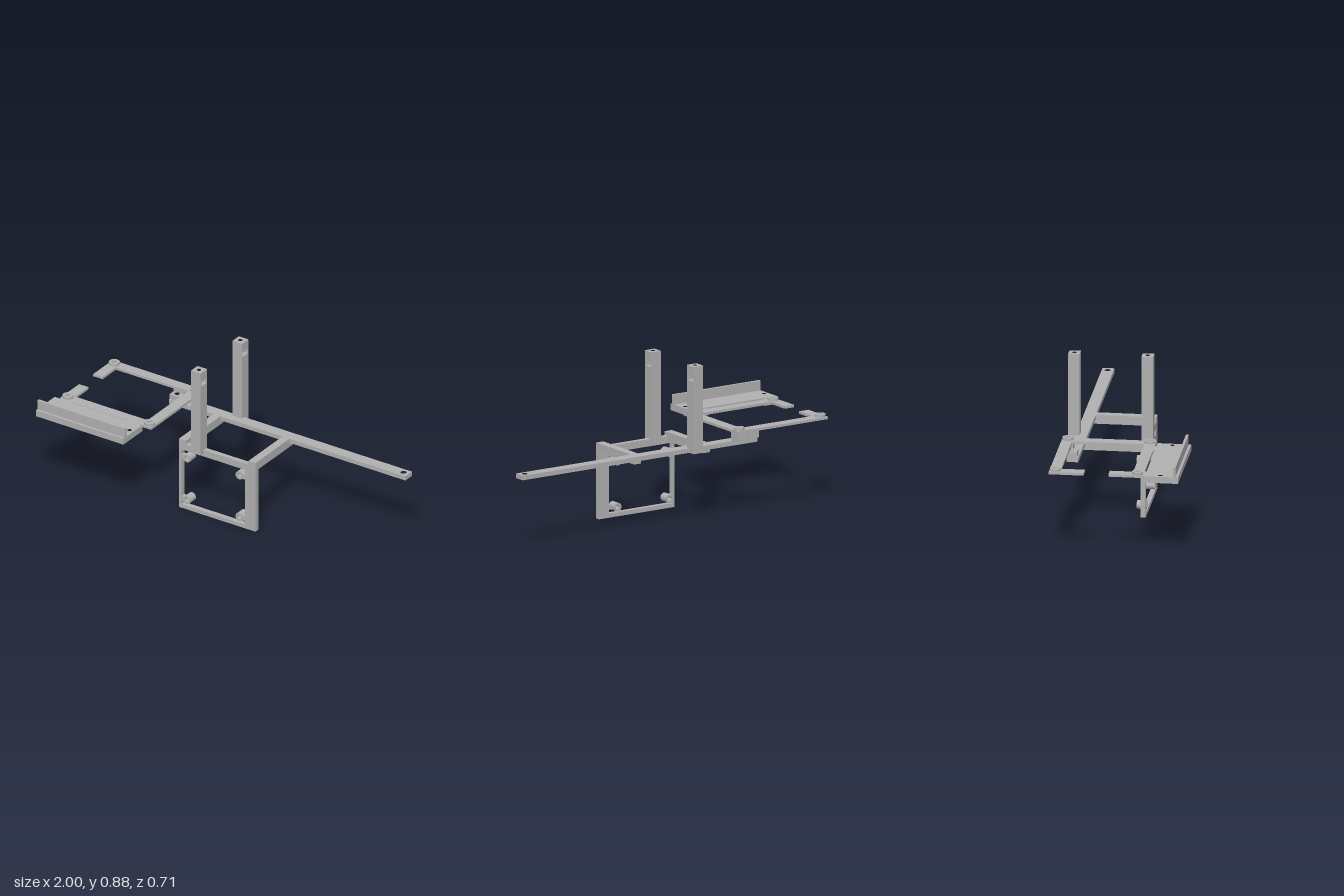
import * as THREE from 'three';

export function createModel() {
  const root = new THREE.Group();
  root.name = 'mountingFrame';
  const grey = new THREE.MeshStandardMaterial({ color: 0xb0b0b0 });
  grey.name = 'plainGrey';

  const add = (name, geo) => {
    const m = new THREE.Mesh(geo, grey);
    m.name = name;
    root.add(m);
    return m;
  };

  // Box given by its extents on each axis
  const box = (name, x0, x1, y0, y1, z0, z1) =>
    add(name, new THREE.BoxGeometry(x1 - x0, y1 - y0, z1 - z0)
      .translate((x0 + x1) / 2, (y0 + y1) / 2, (z0 + z1) / 2));

  const shapeOf = (pts, holes, sign) => {
    const s = new THREE.Shape(pts.map(([a, b]) => new THREE.Vector2(a, sign * b)));
    for (const [a, b, r] of holes) s.holes.push(new THREE.Path().absarc(a, sign * b, r, 0, Math.PI * 2, true));
    return s;
  };
  const rect = (a0, a1, b0, b1) => [[a0, b0], [a1, b0], [a1, b1], [a0, b1]];
  const extrude = (s, depth) => new THREE.ExtrudeGeometry(s, { depth, bevelEnabled: false, curveSegments: 12 });

  // Horizontal plate: outline in x and z, with round holes [x, z, radius]
  const plate = (name, pts, holes, y0, y1) =>
    add(name, extrude(shapeOf(pts, holes, -1), y1 - y0).rotateX(-Math.PI / 2).translate(0, y0, 0));

  // Upright or lying sleeve with a bore
  const sleeveShape = (r, bore) => {
    const s = new THREE.Shape().absarc(0, 0, r, 0, Math.PI * 2, false);
    s.holes.push(new THREE.Path().absarc(0, 0, bore, 0, Math.PI * 2, true));
    return s;
  };

  // Long rear beam with a screw hole at each end
  plate('longBeam', rect(-0.54, 1, -0.312, -0.247),
    [[-0.508, -0.28, 0.014], [0.965, -0.28, 0.016]], 0.397, 0.422);

  // Arms from the beam to the square frame
  box('leftArm', 0.2, 0.246, 0.372, 0.422, -0.278, 0.083);
  box('rightArm', -0.25, -0.204, 0.372, 0.422, -0.278, 0.083);

  // Upright square frame with a window
  const square = shapeOf(rect(-0.25, 0.246, 0, 0.4), [], 1);
  square.holes.push(new THREE.Path([[-0.235, 0.023], [-0.235, 0.36], [0.18, 0.36], [0.18, 0.023]]
    .map(([x, y]) => new THREE.Vector2(x, y))));
  add('squareFrame', extrude(square, 0.028).translate(0, 0, 0.055));

  // Standoffs at the window corners, each on a short tab
  for (const y of [0.058, 0.314]) {
    for (const [x, edge] of [[-0.2, -0.24], [0.14, 0.185]]) {
      add('standoff', extrude(sleeveShape(0.024, 0.013), 0.053).translate(x, y, 0.03));
      const near = x + Math.sign(edge - x) * 0.018;
      box('standoffTab', Math.min(near, edge), Math.max(near, edge), y - 0.014, y + 0.014, 0.055, 0.083);
    }
  }

  // Two posts, each with a nut slot in its left side and a screw hole in the top
  const post = (name, y0, z0, z1) => {
    const x0 = -0.155, x1 = -0.092, zc = (z0 + z1) / 2;
    box(name, x0, x1, y0, 0.8, z0, z1);
    box(name + 'SlotBack', x0, -0.142, 0.8, 0.828, z0, z1);
    box(name + 'SlotSide', -0.142, x1, 0.8, 0.828, z0, z0 + 0.006);
    box(name + 'SlotSide', -0.142, x1, 0.8, 0.828, z1 - 0.006, z1);
    plate(name + 'Cap', rect(x0, x1, z0, z1), [[-0.124, zc, 0.012]], 0.828, 0.882);
  };
  post('frontPost', 0.377, 0.047, 0.11);
  post('rearPost', 0.397, -0.352, -0.289);

  // Open side tray with a ring at each corner
  const corners = [[-0.944, -0.32], [-0.412, -0.32], [-0.944, 0.128], [-0.412, 0.128]];
  plate('sideTray', [
    [-0.975, -0.352], [-0.38, -0.352], [-0.38, 0.16], [-0.975, 0.16], [-0.975, -0.027],
    [-0.914, -0.027], [-0.914, 0.1], [-0.444, 0.1], [-0.444, -0.292], [-0.914, -0.292],
    [-0.914, -0.163], [-0.975, -0.163],
  ], corners.map(([x, z]) => [x, z, 0.014]), 0.469, 0.483);
  for (const [x, z] of corners) {
    add('cornerRing', extrude(sleeveShape(0.03, 0.014), 0.015)
      .rotateX(-Math.PI / 2).translate(x, 0.482, z));
  }

  // Supports carrying the tray on the beam
  plate('traySupport', rect(-0.444, -0.38, -0.352, -0.289), [[-0.412, -0.32, 0.014]], 0.422, 0.469);
  box('traySupportFoot', -0.444, -0.38, 0.41, 0.422, -0.312, -0.289);
  plate('beamBoss', rect(-0.54, -0.474, -0.325, -0.255), [[-0.508, -0.28, 0.014]], 0.422, 0.452);
  box('beamBossWall', -0.54, -0.474, 0.452, 0.478, -0.325, -0.294);

  // Front shelf with a raised lip, joined to the tray by two tabs
  plate('shelf', rect(-1, -0.43, 0.172, 0.354),
    [[-0.975, 0.255, 0.012], [-0.457, 0.255, 0.012]], 0.452, 0.488);
  box('shelfLip', -1, -0.43, 0.488, 0.543, 0.325, 0.34);
  for (const x of [-0.965, -0.535]) box('shelfTab', x, x + 0.065, 0.452, 0.483, 0.145, 0.174);

  return root;
}
